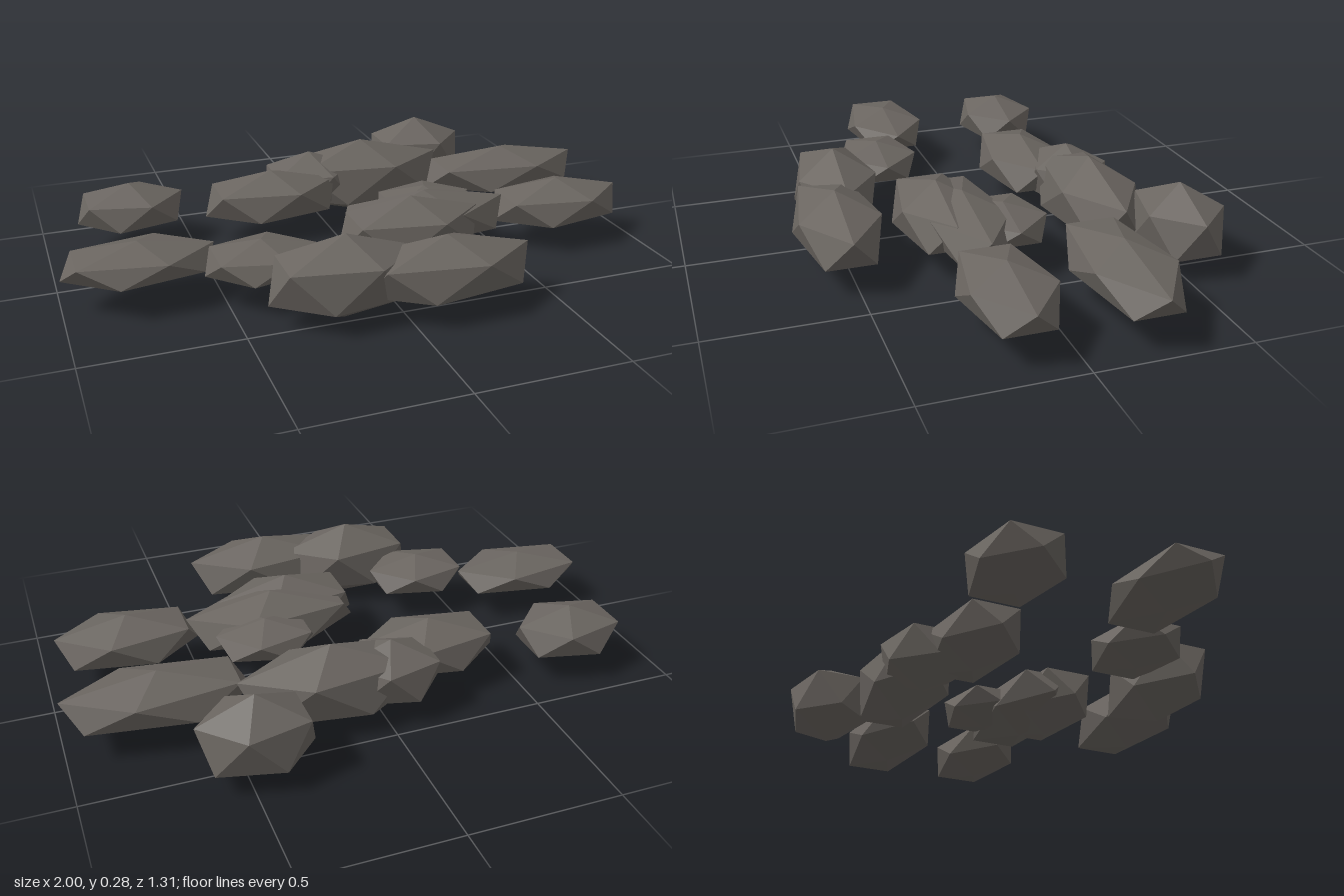
import * as THREE from 'three';

// Flat field of stretched, faceted stones, all floating at one mid height.
const MID_Y = 0.143;
const HALF_DEPTH = 0.132;

// [centre x, centre z, half width, half height]
const STONES = [
  [-0.705, -0.307, 0.184, 0.09],
  [-0.213, -0.235, 0.24, 0.1],
  [-0.035, -0.342, 0.171, 0.115],
  [0.167, -0.34, 0.304, 0.14],
  [0.466, -0.525, 0.184, 0.14],
  [0.693, -0.224, 0.304, 0.09],
  [0.278, 0.006, 0.171, 0.066],
  [0.222, 0.126, 0.3, 0.1],
  [0.147, 0.193, 0.245, 0.115],
  [0.72, 0.151, 0.24, 0.09],
  [-0.755, 0.151, 0.243, 0.07],
  [-0.388, 0.266, 0.182, 0.07],
  [-0.18, 0.466, 0.245, 0.14],
  [0.13, 0.522, 0.28, 0.115],
];

// Icosahedron standing on a vertex, with an upper ring vertex toward +x
function stoneGeometry(halfWidth, halfHeight) {
  const geometry = new THREE.IcosahedronGeometry(1, 0);
  geometry.rotateZ(-Math.atan(2 / (1 + Math.sqrt(5))));
  geometry.scale(halfWidth / 0.8944, halfHeight, HALF_DEPTH / 0.8507);
  geometry.computeVertexNormals();
  return geometry;
}

export function createModel() {
  const group = new THREE.Group();
  group.name = 'stoneField';
  const stone = new THREE.MeshStandardMaterial({ color: 0x6a6560, flatShading: true });
  stone.name = 'darkStone';

  STONES.forEach(([x, z, halfWidth, halfHeight], i) => {
    const mesh = new THREE.Mesh(stoneGeometry(halfWidth, halfHeight), stone);
    mesh.name = `stone${i + 1}`;
    mesh.position.set(x, MID_Y, z);
    group.add(mesh);
  });
  return group;
}
